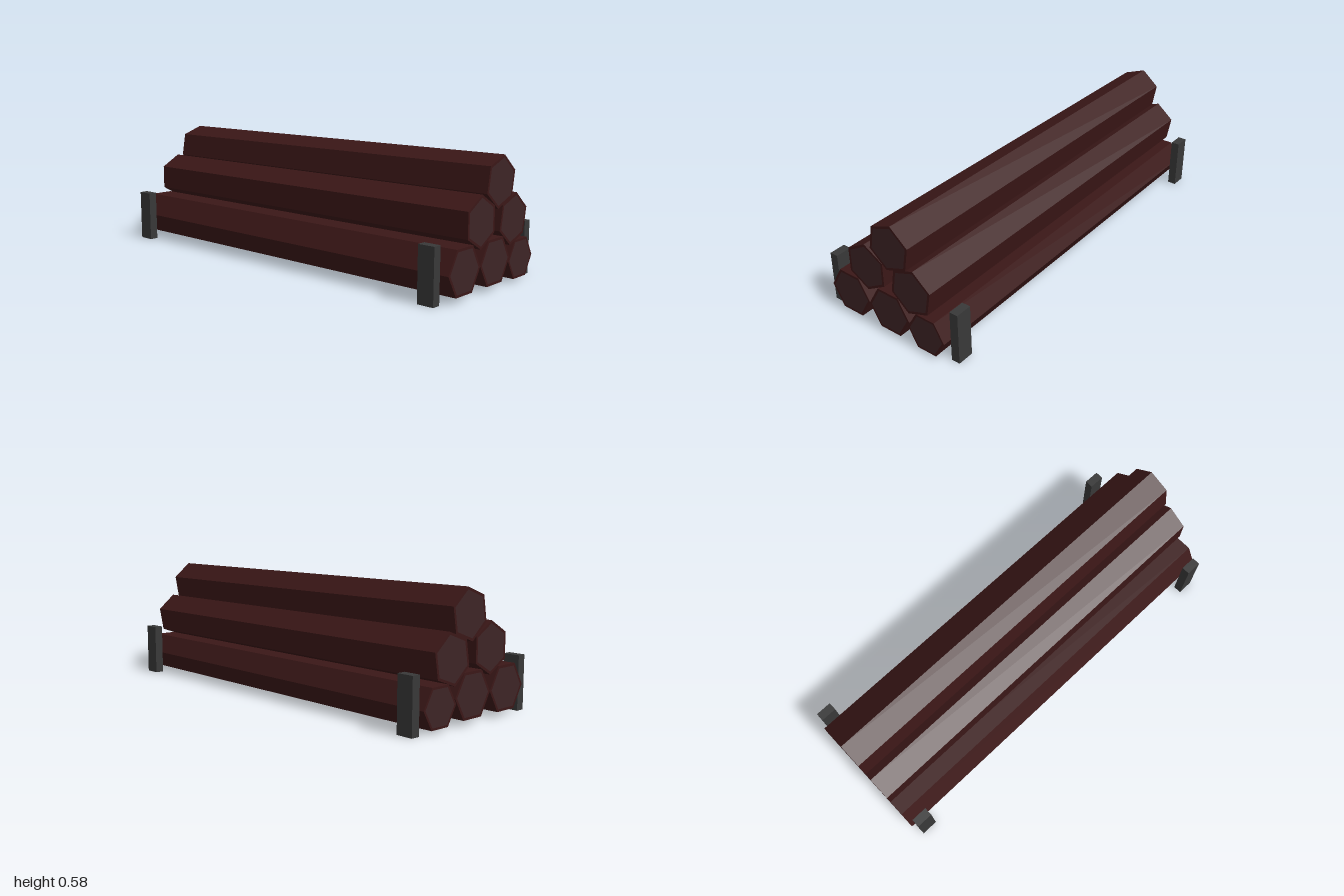
import * as THREE from 'three';

const material = (color) => new THREE.MeshStandardMaterial({ color, flatShading: true });

export function createModel() {
  const model = new THREE.Group();
  model.name = 'logPile';
  const bark = material(0x3b1717);
  const wood = material(0x3d2425);
  const metal = material(0x383838);

  function add(parent, name, geometry, mat) {
    const mesh = new THREE.Mesh(geometry, mat);
    mesh.name = name;
    parent.add(mesh);
    return mesh;
  }

  // Hexagonal log along z, with a bark rim around each cut end
  function addLog(name, x, y, radius, degrees) {
    const log = new THREE.Group();
    log.name = name;
    const inner = radius * 0.89;
    const side = new THREE.CylinderGeometry(radius, radius, 2, 6, 1, true, Math.PI / 2);
    add(log, 'bark', side.rotateX(Math.PI / 2), bark);
    for (const s of [1, -1]) {
      const end = new THREE.Group();
      end.name = s > 0 ? 'frontEnd' : 'backEnd';
      end.position.z = s;
      end.rotation.y = s > 0 ? 0 : Math.PI;
      add(end, 'barkRim', new THREE.RingGeometry(inner, radius, 6, 1), bark);
      add(end, 'cutFace', new THREE.CircleGeometry(inner, 6), wood);
      log.add(end);
    }
    log.position.set(x, y, 0);
    log.rotation.z = THREE.MathUtils.degToRad(degrees);
    model.add(log);
  }

  // Bottom row, middle row and top log: x, y, radius, roll
  const logs = [
    ['bottomRightLog', -0.213, 0.126, 0.116, 0],
    ['bottomMiddleLog', 0.018, 0.126, 0.116, 0],
    ['bottomLeftLog', 0.227, 0.105, 0.101, 0],
    ['middleRightLog', -0.097, 0.313, 0.116, 30],
    ['middleLeftLog', 0.156, 0.292, 0.116, 20],
    ['topLog', 0.048, 0.466, 0.116, 20],
  ];
  for (const log of logs) addLog(...log);

  // Upright stakes holding the pile at its corners
  for (const [sideName, x] of [['Left', 0.351], ['Right', -0.351]]) {
    for (const [endName, z] of [['front', 0.92], ['back', -0.94]]) {
      const stake = add(model, `${endName}${sideName}Stake`, new THREE.BoxGeometry(0.042, 0.25, 0.08), metal);
      stake.position.set(x, 0.125, z);
    }
  }
  return model;
}
